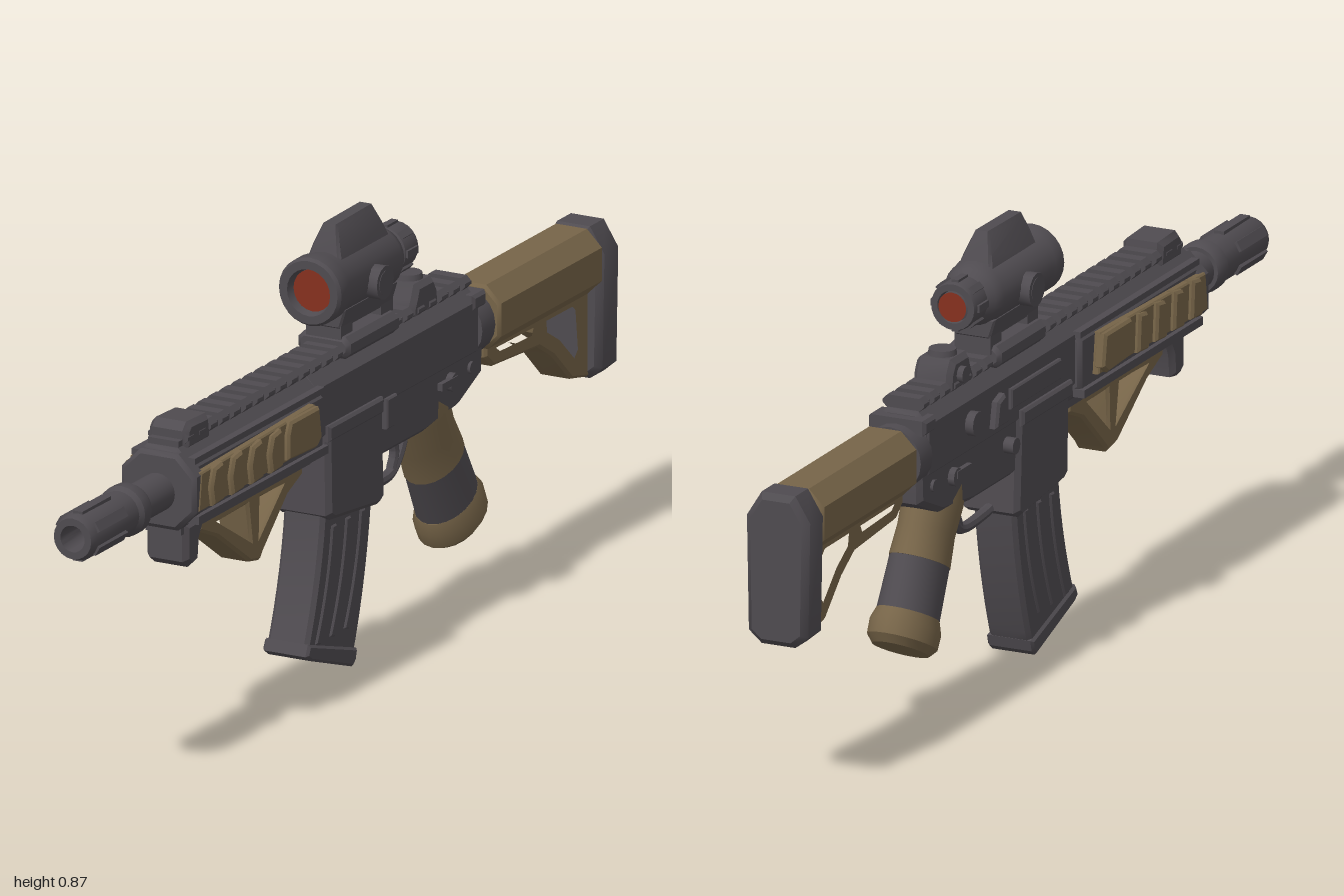
import * as THREE from 'three';
import { toCreasedNormals } from 'three/addons/utils/BufferGeometryUtils.js';

export function createModel() {
  const root = new THREE.Group();
  root.name = 'carbine';
  const mat = (name, color) => {
    const m = new THREE.MeshStandardMaterial({ color });
    m.name = name;
    return m;
  };
  const dark = mat('gunmetal', 0x4f4b50);
  const tan = mat('tan polymer', 0x766448);
  const red = mat('red lens', 0x86301f);

  const add = (name, geo, m = dark, parent = root) => {
    const mesh = new THREE.Mesh(toCreasedNormals(geo, 0.6), m);
    mesh.name = name;
    parent.add(mesh);
    return mesh;
  };
  const toPath = (pts, Type) => new Type(pts.map(([a, b]) => new THREE.Vector2(a, b)));
  const extrude = (shape, depth, bevel) => new THREE.ExtrudeGeometry(shape, {
    depth: depth - 2 * bevel, steps: 1, curveSegments: 8, bevelEnabled: bevel > 0,
    bevelThickness: bevel, bevelSize: bevel, bevelOffset: -bevel, bevelSegments: 1,
  }).translate(0, 0, bevel - depth / 2);
  // side profile in (z, y), extruded across the width and centred on x
  const side = (name, profile, half, m = dark, bevel = 0.01, holes = [], x = 0) => {
    const shape = Array.isArray(profile) ? toPath(profile, THREE.Shape) : profile;
    holes.forEach((h) => shape.holes.push(toPath(h, THREE.Path)));
    return add(name, extrude(shape, half * 2, bevel).rotateY(-Math.PI / 2).translate(x, 0, 0), m);
  };
  // front section in (x, y), extruded from z0 to z1
  const section = (name, pts, z0, z1, m = dark, bevel = 0.008) =>
    add(name, extrude(toPath(pts, THREE.Shape), z1 - z0, bevel).translate(0, 0, (z0 + z1) / 2), m);
  // rectangle with cut corners
  const octagon = (w, y0, y1, c) => [[-w + c, y0], [w - c, y0], [w, y0 + c], [w, y1 - c],
    [w - c, y1], [-w + c, y1], [-w, y1 - c], [-w, y0 + c]];
  const box = (name, x, y, z, w, h, d, m = dark) =>
    add(name, new THREE.BoxGeometry(w, h, d).translate(x, y, z), m);
  // profile of [radius, z], turned about the z axis
  const turned = (name, pts, y, m = dark, n = 20) =>
    add(name, new THREE.LatheGeometry(pts.map(([r, z]) => new THREE.Vector2(r, z)), n)
      .rotateX(Math.PI / 2).translate(0, y, 0), m);
  const knob = (name, x, y, z, r, len, m = dark) =>
    add(name, new THREE.CylinderGeometry(r, r, len, 12).rotateZ(Math.PI / 2).translate(x, y, z), m);

  // Barrel and hollow muzzle device
  turned('barrel', [[0, 0.6], [0.037, 0.6], [0.037, 0.8]], 0.527);
  turned('muzzle', [[0, 0.775], [0.045, 0.775], [0.05, 0.785], [0.05, 0.81], [0.043, 0.82],
    [0.045, 0.985], [0.04, 1], [0.026, 1], [0.022, 0.93], [0, 0.93]], 0.527);
  for (let i = 0; i < 6; i++) {
    const a = i * Math.PI / 3;
    const rib = box('muzzleRib', 0, 0, 0, 0.02, 0.012, 0.11);
    rib.position.set(Math.sin(a) * 0.043, 0.527 + Math.cos(a) * 0.043, 0.925);
    rib.rotation.z = -a;
  }

  // Handguard with front collar and lower ridges
  section('handguard', octagon(0.068, 0.45, 0.612, 0.035), 0.15, 0.66);
  section('frontCollar', octagon(0.08, 0.455, 0.605, 0.04), 0.63, 0.672);
  box('lowerRail', 0, 0.455, 0.4, 0.075, 0.03, 0.5);
  for (const s of [-1, 1]) {
    box('handguardRidge', s * 0.064, 0.475, 0.4, 0.024, 0.016, 0.5);
    box('handguardUpperRidge', s * 0.06, 0.59, 0.4, 0.016, 0.012, 0.5);
    // Tan side covers with raised pads
    side('sideCover', [[0.2, 0.5], [0.21, 0.58], [0.65, 0.57], [0.66, 0.495]], 0.009, tan, 0.003, [], s * 0.073);
    side('rearPad', [[0.2, 0.515], [0.21, 0.578], [0.32, 0.578], [0.33, 0.555], [0.33, 0.505], [0.22, 0.5]],
      0.012, tan, 0.005, [], s * 0.08);
    for (let i = 0; i < 4; i++) {
      const z = 0.375 + i * 0.075;
      side('coverPad', [[z - 0.026, 0.5], [z - 0.02, 0.575], [z + 0.014, 0.57], [z + 0.026, 0.535], [z + 0.018, 0.497]],
        0.012, tan, 0.005, [], s * 0.08);
    }
  }

  // Top rail with teeth
  box('topRail', 0, 0.612, 0.1, 0.065, 0.024, 1.1);
  for (let i = 0; i < 25; i++) {
    const tooth = octagon(0.043, 0.612, 0.638, 0.01);
    section('railTooth', tooth, 0.608 - i * 0.0445, 0.632 - i * 0.0445, dark, 0);
  }

  // Folded front sight and lower stop
  side('frontSight', [[0.54, 0.62], [0.545, 0.652], [0.62, 0.655], [0.635, 0.64], [0.635, 0.6], [0.54, 0.6]], 0.042);
  side('handStop', [[0.565, 0.46], [0.64, 0.46], [0.64, 0.385], [0.62, 0.37], [0.59, 0.375], [0.585, 0.42]], 0.045);

  // Triangular foregrip
  side('foregrip', [[0.17, 0.455], [0.57, 0.455], [0.57, 0.425], [0.5, 0.395], [0.375, 0.31], [0.335, 0.302],
    [0.325, 0.315], [0.23, 0.4], [0.17, 0.425]], 0.034, tan, 0.006,
  [[[0.5, 0.425], [0.385, 0.425], [0.37, 0.35]], [[0.335, 0.425], [0.25, 0.425], [0.34, 0.35]]]);

  // Upper and lower receivers
  section('upperReceiver', octagon(0.056, 0.47, 0.614, 0.024), -0.47, 0.165);
  side('lowerReceiver', [[0.11, 0.52], [0.11, 0.42], [-0.09, 0.385], [-0.27, 0.385], [-0.4, 0.4],
    [-0.49, 0.44], [-0.495, 0.52], [-0.47, 0.59], [-0.4, 0.55]], 0.052);
  side('magazineWell', [[0.122, 0.515], [0.118, 0.33], [0.1, 0.318], [-0.08, 0.298], [-0.1, 0.31], [-0.09, 0.5]], 0.061);
  side('magazineWellLip', [[0.126, 0.51], [0.124, 0.478], [-0.085, 0.478], [-0.085, 0.51]], 0.066, dark, 0.005);
  side('chargingHandle', [[-0.44, 0.575], [-0.44, 0.605], [-0.49, 0.605], [-0.49, 0.575]], 0.06, dark, 0.006);

  // Receiver controls
  side('ejectionCover', [[0.08, 0.525], [0.08, 0.565], [-0.13, 0.565], [-0.13, 0.525]], 0.006, dark, 0.003, [], -0.058);
  side('caseDeflector', [[-0.15, 0.51], [-0.17, 0.57], [-0.2, 0.56], [-0.21, 0.51]], 0.012, dark, 0.005, [], -0.06);
  knob('forwardAssist', -0.058, 0.545, -0.29, 0.024, 0.03);
  knob('magazineRelease', -0.058, 0.455, -0.13, 0.016, 0.03);
  side('boltCatch', [[-0.1, 0.44], [-0.1, 0.5], [-0.14, 0.5], [-0.13, 0.44]], 0.008, dark, 0.003, [], 0.056);
  for (const s of [-1, 1]) {
    knob('selectorHub', s * 0.055, 0.46, -0.36, 0.018, 0.02);
    box('selectorLever', s * 0.062, 0.465, -0.335, 0.01, 0.014, 0.06);
    knob('receiverPin', s * 0.052, 0.465, -0.44, 0.012, 0.012);
  }

  // Trigger and guard
  const rod = (name, pts, r) => add(name, new THREE.TubeGeometry(
    new THREE.CatmullRomCurve3(pts.map(([z, y]) => new THREE.Vector3(0, y, z)), false, 'centripetal'), 20, r, 8));
  rod('triggerGuard', [[-0.085, 0.315], [-0.13, 0.309], [-0.22, 0.309], [-0.25, 0.33], [-0.285, 0.385]], 0.011);
  rod('trigger', [[-0.225, 0.4], [-0.235, 0.37], [-0.24, 0.345], [-0.228, 0.318]], 0.01);

  // Curved magazine with side ribs
  const mag = new THREE.Shape();
  mag.moveTo(0.108, 0.36);
  mag.quadraticCurveTo(0.118, 0.22, 0.18, 0.072);
  mag.lineTo(0.165, 0.06);
  mag.lineTo(0.005, 0.004);
  mag.lineTo(-0.005, 0.012);
  mag.quadraticCurveTo(-0.068, 0.17, -0.085, 0.36);
  side('magazine', mag, 0.044, dark, 0.008);
  for (const z of [0.065, 0.01, -0.045]) {
    const rib = new THREE.Shape();
    rib.moveTo(z, 0.3);
    rib.quadraticCurveTo(z + 0.012, 0.19, z + 0.062, 0.08);
    rib.lineTo(z + 0.08, 0.085);
    rib.quadraticCurveTo(z + 0.03, 0.19, z + 0.018, 0.3);
    side('magazineRib', rib, 0.048, dark, 0.003);
  }
  side('magazineBase', [[0.172, 0.092], [0.182, 0.07], [0.165, 0.058], [0.004, 0.002], [-0.008, 0.012], [-0.014, 0.034]], 0.049, dark, 0.005);

  // Slanted pistol grip: tan, dark band, tan foot
  const grip = new THREE.Group();
  grip.name = 'grip';
  grip.position.set(0, 0.4, -0.335);
  grip.rotation.x = 0.49;
  grip.scale.x = 0.74;
  root.add(grip);
  const gripPart = (name, pts, m) => add(name,
    new THREE.LatheGeometry(pts.map(([r, y]) => new THREE.Vector2(r, y)), 20), m, grip);
  gripPart('gripTop', [[0, -0.12], [0.075, -0.12], [0.07, -0.06], [0.074, 0], [0.07, 0.04], [0, 0.04]], tan);
  gripPart('gripBand', [[0.077, -0.23], [0.073, -0.115]], dark);
  gripPart('gripFoot', [[0, -0.292], [0.07, -0.29], [0.086, -0.275], [0.087, -0.245], [0.077, -0.222], [0, -0.222]], tan);

  // Stock: neck, tube, skeleton underside and butt pad
  turned('stockNeck', [[0, -0.56], [0.052, -0.56], [0.052, -0.515], [0.064, -0.515], [0.064, -0.465], [0, -0.465]], 0.53);
  section('stockTube', octagon(0.065, 0.468, 0.597, 0.032), -0.93, -0.53, tan, 0.006);
  side('stockSkeleton', [[-0.53, 0.5], [-0.53, 0.455], [-0.56, 0.43], [-0.735, 0.418], [-0.79, 0.385],
    [-0.86, 0.32], [-0.93, 0.305], [-0.93, 0.5]], 0.036, tan, 0.006,
  [[[-0.56, 0.468], [-0.58, 0.448], [-0.71, 0.443], [-0.72, 0.468]],
    [[-0.755, 0.468], [-0.76, 0.435], [-0.81, 0.405], [-0.87, 0.35], [-0.89, 0.37], [-0.88, 0.455], [-0.865, 0.468]]]);
  section('buttPad', [[-0.035, 0.302], [0.035, 0.302], [0.062, 0.325], [0.066, 0.55], [0.035, 0.6],
    [-0.035, 0.6], [-0.066, 0.55], [-0.062, 0.325]], -0.997, -0.92, dark, 0.012);

  // Rear sight
  side('rearSight', [[-0.24, 0.63], [-0.25, 0.65], [-0.26, 0.675], [-0.325, 0.675], [-0.34, 0.65], [-0.345, 0.61], [-0.24, 0.61]], 0.04);
  add('rearSightDial', new THREE.CylinderGeometry(0.026, 0.03, 0.02, 14).translate(0, 0.676, -0.295));
  knob('rearSightKnob', -0.042, 0.642, -0.3, 0.016, 0.02);

  // Optic: mount, hollow body, hood, turrets and lenses
  section('opticClamp', octagon(0.056, 0.612, 0.655, 0.012), -0.165, 0.035);
  for (const z of [0.01, -0.145]) box('opticFoot', 0, 0.67, z, 0.075, 0.06, 0.045);
  section('opticBridge', [[-0.036, 0.67], [0.036, 0.67], [0.048, 0.71], [-0.048, 0.71]], -0.17, 0.035, dark, 0.004);
  turned('opticBody', [[0, -0.252], [0.03, -0.24], [0.032, -0.252], [0.045, -0.252], [0.047, -0.245], [0.047, -0.2],
    [0.04, -0.195], [0.055, -0.18], [0.063, -0.16], [0.063, 0.04], [0.067, 0.05], [0.067, 0.083], [0.062, 0.09],
    [0.046, 0.09], [0.041, 0.07], [0, 0.07]], 0.753, dark, 24);
  for (let i = 0; i < 8; i++) {
    const a = i * Math.PI / 4;
    const rib = box('eyepieceRib', 0, 0, 0, 0.014, 0.008, 0.04);
    rib.position.set(Math.sin(a) * 0.047, 0.753 + Math.cos(a) * 0.047, -0.222);
    rib.rotation.z = -a;
  }
  const lens = (name, r, z, turn) => add(name,
    new THREE.CircleGeometry(r, 20).rotateY(turn).translate(0, 0.753, z), red);
  lens('frontLens', 0.041, 0.074, 0);
  lens('rearLens', 0.029, -0.2535, Math.PI);
  const hood = add('opticHood', extrude(toPath([[0.035, 0.79], [0.025, 0.83], [0.01, 0.866], [-0.13, 0.868],
    [-0.15, 0.83], [-0.165, 0.79]], THREE.Shape), 0.076, 0.006).rotateY(-Math.PI / 2));
  const p = hood.geometry.attributes.position;
  for (let i = 0; i < p.count; i++) p.setX(i, p.getX(i) * (1 - 0.62 * Math.max(0, (p.getY(i) - 0.8) / 0.068)));
  hood.geometry = toCreasedNormals(hood.geometry, 0.6);
  for (const s of [-1, 1]) {
    knob('opticTurret', s * 0.063, 0.743, -0.06, 0.033, 0.036);
    knob('opticTurretCap', s * 0.076, 0.743, -0.06, 0.024, 0.012);
  }

  return root;
}
